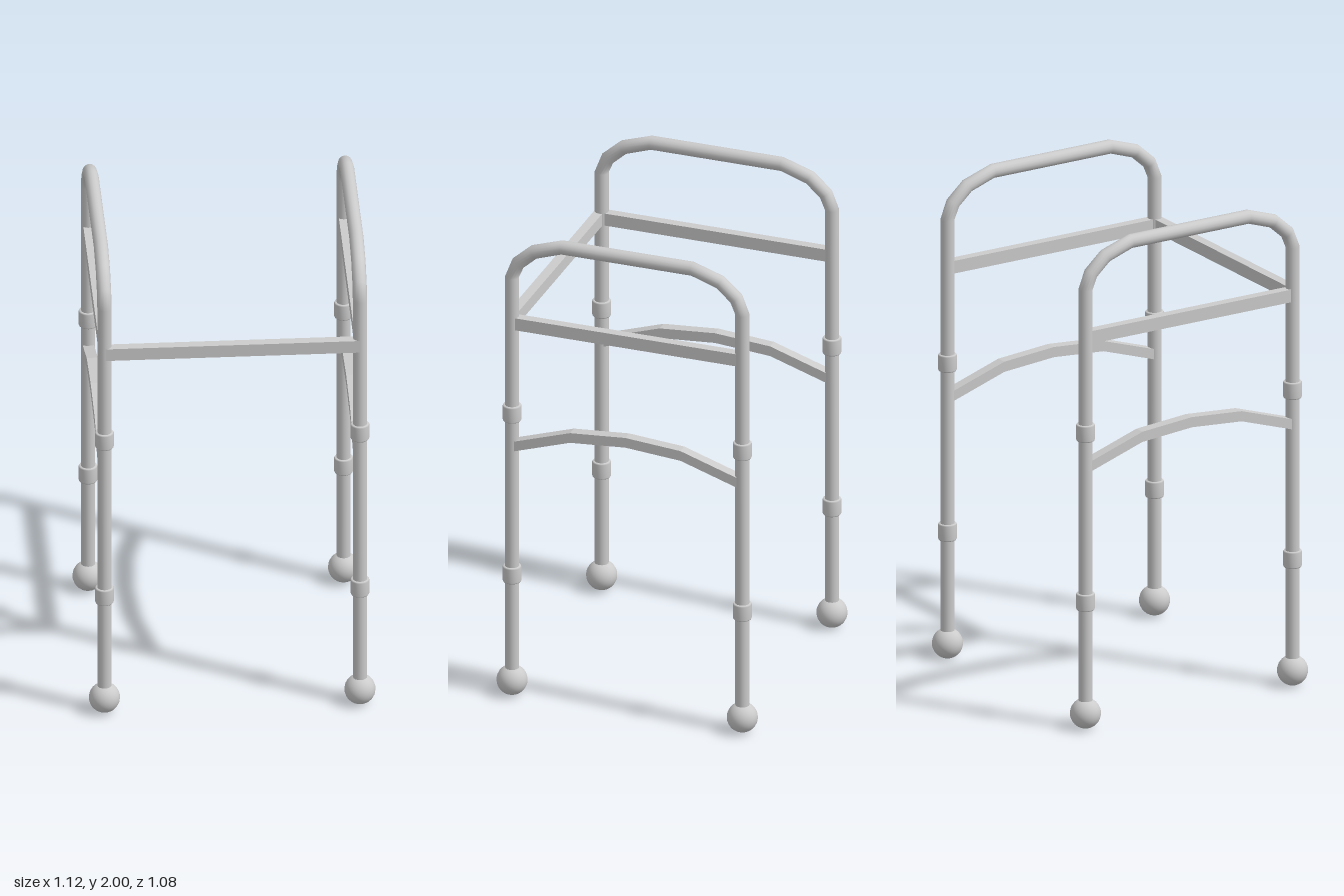
import * as THREE from 'three';

const X = 0.5, Z = 0.48, R = 0.028;

// Straight-sided path whose rings fall exactly on its points
class Polyline extends THREE.Curve {
  constructor(points) { super(); this.points = points; }
  getPoint(t, target = new THREE.Vector3()) {
    const n = this.points.length - 1, s = Math.min(Math.max(t, 0), 1) * n;
    const i = Math.min(Math.floor(s), n - 1);
    return target.lerpVectors(this.points[i], this.points[i + 1], s - i);
  }
  getPointAt(t, target) { return this.getPoint(t, target); }
  getTangentAt(t, target) { return this.getTangent(t, target); }
}

export function createModel() {
  const model = new THREE.Group();
  model.name = 'walkingFrame';
  const material = new THREE.MeshStandardMaterial({ color: 0xcccccc });
  const add = (parent, name, geometry, x = 0, y = 0, z = 0) => {
    const mesh = new THREE.Mesh(geometry, material);
    mesh.name = name;
    mesh.position.set(x, y, z);
    parent.add(mesh);
    return mesh;
  };

  // One bent tube makes both legs and the hand grip of a side
  const half = [[Z, 0.06], [Z, 1.81], [0.455, 1.873], [0.388, 1.933], [0.272, 1.972]];
  const path = [...half, ...half.map(([z, y]) => [-z, y]).reverse()]
    .map(([z, y]) => new THREE.Vector3(0, y, z));
  const frameTube = new THREE.TubeGeometry(new Polyline(path), path.length - 1, R, 16, false);

  // Arched brace, drawn in the side plane and given thickness across x
  const arch = [[-Z, 1.08], [-0.23, 1.162], [0, 1.18], [0.23, 1.162], [Z, 1.08]];
  const h = 0.021;
  const outline = [
    ...arch.map(([z, y]) => new THREE.Vector2(z, y - h)),
    ...arch.map(([z, y]) => new THREE.Vector2(z, y + h)).reverse(),
  ];
  const brace = new THREE.ExtrudeGeometry(new THREE.Shape(outline), { depth: 0.044, bevelEnabled: false });
  brace.translate(0, 0, -0.022).rotateY(-Math.PI / 2);

  // Clamp collar with softened rims, and ball foot
  const collar = new THREE.LatheGeometry(
    [[R - 0.004, -0.034], [0.034, -0.034], [0.037, -0.029], [0.037, 0.029], [0.034, 0.034], [R - 0.004, 0.034]]
      .map(([r, y]) => new THREE.Vector2(r, y)), 20);
  const foot = new THREE.SphereGeometry(0.061, 24, 16);
  const sideBar = new THREE.BoxGeometry(0.039, 0.052, 2 * Z);

  for (const [side, s] of [['left', 1], ['right', -1]]) {
    const group = new THREE.Group();
    group.name = side + 'Side';
    group.position.x = s * X;
    model.add(group);
    add(group, 'legsAndHandle', frameTube);
    add(group, 'sideBar', sideBar, 0, 1.615, 0);
    add(group, 'archedBrace', brace);
    for (const [end, z] of [['front', Z], ['back', -Z]]) {
      add(group, end + 'UpperCollar', collar, 0, 1.222, z);
      add(group, end + 'LowerCollar', collar, 0, 0.524, z);
      add(group, end + 'BallFoot', foot, 0, 0.062, z);
    }
  }

  // Crossbar joining the two sides at the front
  add(model, 'frontBar', new THREE.BoxGeometry(2 * X, 0.052, 0.039), 0, 1.615, 0.488);
  return model;
}
